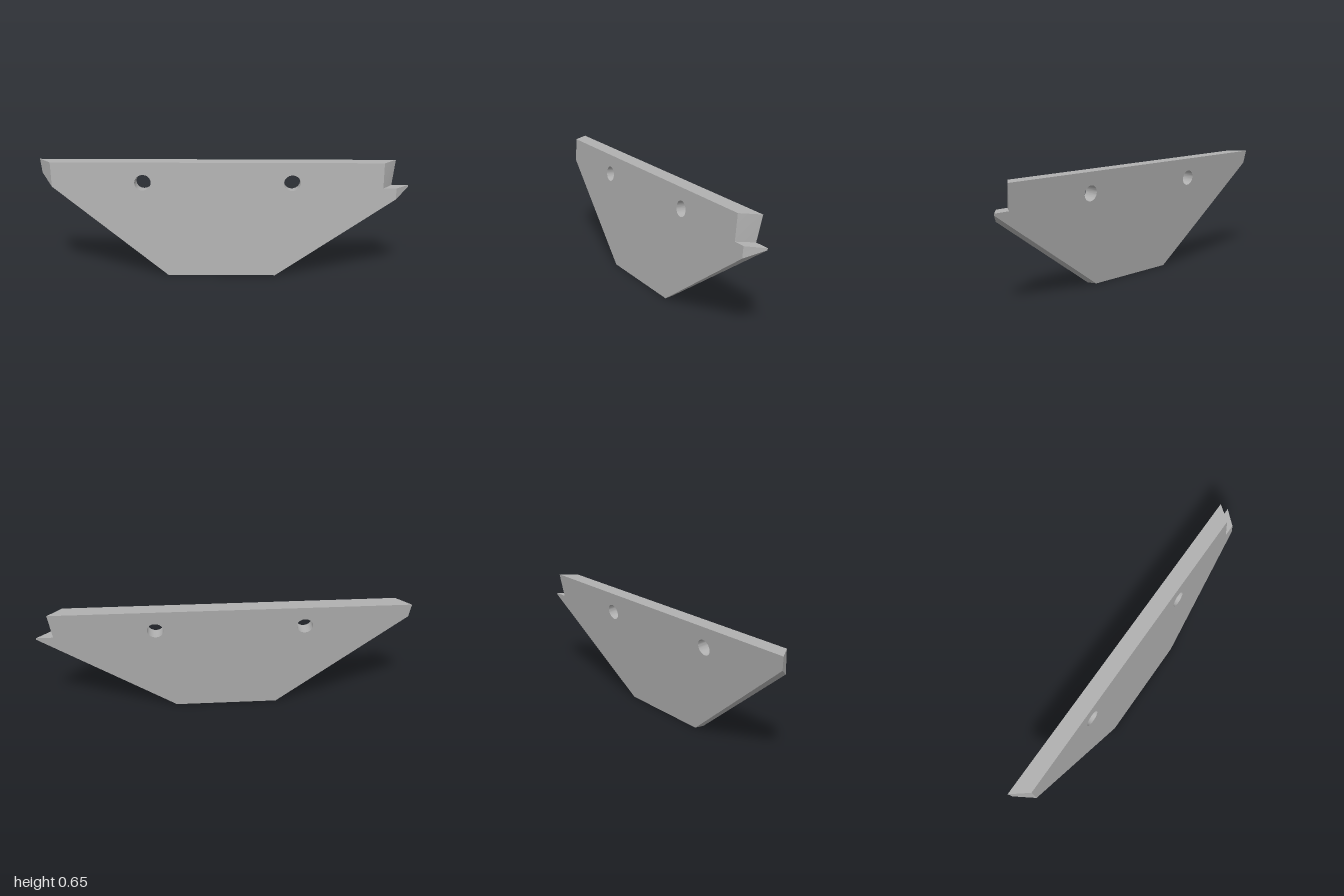
import * as THREE from 'three';
import { toCreasedNormals } from 'three/addons/utils/BufferGeometryUtils.js';

// The two slightly converging faces of the plate, as planes giving z from x and y
const frontZ = (x, y) => 0.0986 - 0.326 * x - 0.0757 * y;
const backZ = (x, y) => 0.042 - 0.3236 * x - 0.14 * y;

// Matching outlines, anticlockwise seen from the front
const frontOutline = [[-0.26, 0], [0.32, 0], [0.95, 0.443], [0.95, 0.505],
  [0.88, 0.505], [0.88, 0.647], [-0.9, 0.647], [-0.89, 0.51]];
const backOutline = [[-0.27, 0], [0.29, 0], [1, 0.495], [1, 0.505],
  [0.91, 0.505], [0.925, 0.647], [-1, 0.647], [-0.985, 0.57]];

// Clockwise ring for a bolt hole
function ring(cx, cy, r = 0.044, n = 40) {
  return Array.from({ length: n }, (_, i) => {
    const a = -i / n * Math.PI * 2;
    return [cx + r * Math.cos(a), cy + r * Math.sin(a)];
  });
}

function plateGeometry() {
  const positions = [];
  const tri = (...points) => points.forEach(p => positions.push(...p));
  const lift = (loops, z) => loops.map(loop => loop.map(([x, y]) => [x, y, z(x, y)]));

  // Holes run square to the plate, so their back rims shift slightly
  const holes = [-0.405, 0.395];
  const front = lift([frontOutline, ...holes.map(x => ring(x, 0.533))], frontZ);
  const back = lift([backOutline, ...holes.map(x => ring(x - 0.023, 0.528))], backZ);

  // Front and back faces
  const cap = (loops, flip) => {
    const flat = loops.map(l => l.map(p => new THREE.Vector2(p[0], p[1])));
    const points = loops.flat();
    for (const [a, b, c] of THREE.ShapeUtils.triangulateShape(flat[0], flat.slice(1))) {
      const area = (points[b][0] - points[a][0]) * (points[c][1] - points[a][1])
        - (points[b][1] - points[a][1]) * (points[c][0] - points[a][0]);
      if ((area > 0) !== flip) tri(points[a], points[b], points[c]);
      else tri(points[a], points[c], points[b]);
    }
  };
  cap(front, false);
  cap(back, true);

  // Bevelled rim and hole walls
  front.forEach((loop, k) => loop.forEach((a, i) => {
    const j = (i + 1) % loop.length;
    tri(a, back[k][i], back[k][j]);
    tri(a, back[k][j], loop[j]);
  }));

  const geometry = new THREE.BufferGeometry();
  geometry.setAttribute('position', new THREE.Float32BufferAttribute(positions, 3));
  return toCreasedNormals(geometry, 0.4);
}

export function createModel() {
  const group = new THREE.Group();
  group.name = 'bevelledPlate';
  const grey = new THREE.MeshStandardMaterial({ color: 0xb0b0b0 });
  grey.name = 'plain grey';
  const plate = new THREE.Mesh(plateGeometry(), grey);
  plate.name = 'drilledPlate';
  group.add(plate);
  return group;
}
